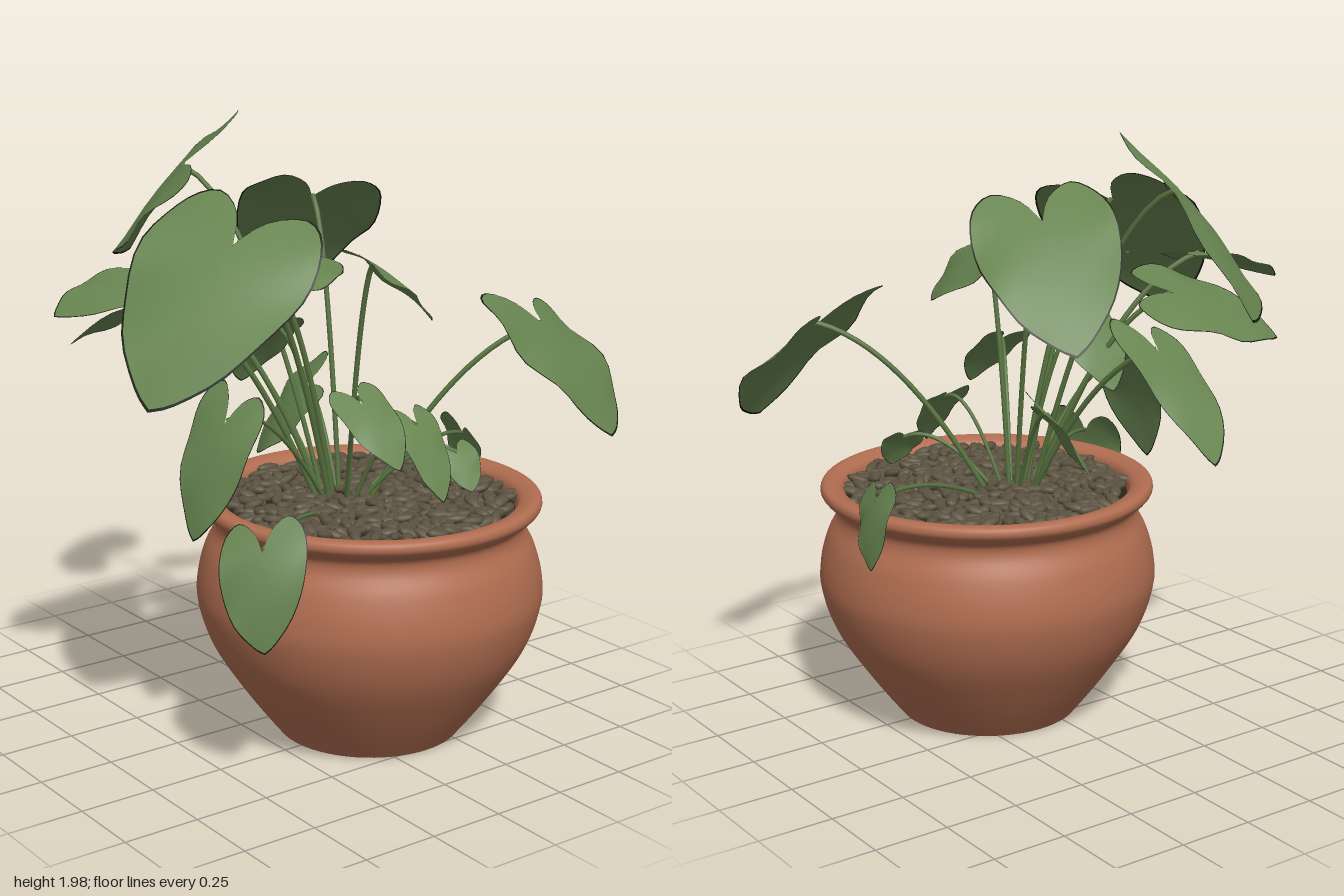
import * as THREE from 'three';
import { mergeGeometries } from 'three/addons/utils/BufferGeometryUtils.js';

const mat = (name, color, side = THREE.FrontSide) => {
  const m = new THREE.MeshStandardMaterial({ color, side });
  m.name = name;
  return m;
};
const clay = mat('terracotta', 0xb06d50);
const soilMat = mat('dark soil', 0x29241b);
const stone = mat('brown pebble', 0x5a513f);
const leafMat = mat('leaf green', 0x678450, THREE.DoubleSide);
const edgeMat = mat('dark leaf edge', 0x161b10, THREE.DoubleSide);
const stemMat = mat('stem green', 0x58733f);

const POT_X = 0.11, POT_Z = 0.22;

function mesh(name, geometry, material) {
  const m = new THREE.Mesh(geometry, material);
  m.name = name;
  return m;
}

function seeded(seed) {
  return () => (seed = (seed * 16807) % 2147483647) / 2147483647;
}

// Each leaf: two widest side points, then the tip
const tallLeaves = [
  [[-0.40, 1.66, -0.33], [-0.04, 1.96, -0.38], [-0.17, 1.47, -0.77]],
  [[-0.55, 1.74, 0.02], [-0.33, 1.61, 0.52], [-0.82, 1.24, 0.38]],
  [[0.34, 1.40, 0.56], [0.83, 1.28, 0.42], [0.68, 1.00, 0.73]],
  [[-0.10, 1.75, -0.18], [0.33, 1.68, -0.02], [0.22, 1.35, -0.43]],
  [[-0.25, 1.38, -0.33], [-0.44, 1.50, -0.02], [-0.66, 1.28, -0.34]],
  [[-0.56, 1.55, -0.18], [-0.58, 1.50, 0.10], [-0.83, 1.43, -0.13]],
  [[-0.20, 1.50, 0.27], [-0.25, 1.58, -0.03], [0.10, 1.52, 0.07]],
  [[-0.04, 1.58, 0.48], [0.13, 1.55, 0.14], [0.20, 1.38, 0.41]],
  [[-0.27, 1.28, -0.38], [-0.02, 1.35, -0.33], [-0.15, 1.00, -0.64]],
];
const lowLeaves = [
  [[-0.61, 0.77, 0.42], [-0.42, 0.83, 0.60], [-0.55, 0.50, 0.57]],
  [[-0.46, 1.14, 0.08], [-0.42, 1.09, 0.34], [-0.57, 0.76, 0.22]],
  [[0.06, 1.05, 0.42], [0.25, 1.05, 0.38], [0.11, 0.85, 0.59]],
  [[-0.24, 1.18, 0.50], [-0.05, 1.20, 0.50], [-0.12, 1.01, 0.66]],
  [[0.64, 0.84, 0.15], [0.66, 0.89, -0.07], [0.72, 0.67, -0.04]],
  [[0.25, 0.93, 0.39], [0.39, 0.94, 0.41], [0.32, 0.82, 0.48]],
  [[0.00, 1.00, -0.02], [0.18, 1.15, -0.21], [0.02, 0.83, -0.29]],
  [[-0.26, 1.34, 0.02], [-0.04, 1.33, 0.04], [-0.15, 1.13, -0.13]],
];

// Heart outline in (across, along), closed loop starting at the notch
const half = new THREE.SplineCurve([
  [0, 0.02], [0.2, -0.18], [0.57, -0.29], [0.88, -0.18], [1, 0.06],
  [0.94, 0.38], [0.66, 0.69], [0.25, 0.92], [0, 1],
].map(p => new THREE.Vector2(...p))).getPoints(24);
const outline = [
  ...half,
  ...half.slice(1, -1).reverse().map(p => new THREE.Vector2(-p.x, p.y)),
];
const rings = [0, 0.2, 0.4, 0.6, 0.8, 0.98, 1];

// Heart-shaped blade: rings of the outline shrinking to a centre, arched along its length
function bladeGeometry(left, right, tip, phase) {
  const base = left.clone().add(right).multiplyScalar(0.5);
  const along = tip.clone().sub(base);
  const across = right.clone().sub(left).multiplyScalar(0.5);
  const normal = along.clone().cross(across).normalize();
  if (normal.y < 0) {
    across.negate();
    normal.negate();
  }
  const length = along.length(), width = across.length();
  const n = outline.length, pos = [], idx = [];
  for (const s of rings) {
    for (const p of outline) {
      const u = p.x * s, v = 0.16 + (p.y - 0.16) * s;
      const lift = length * 0.22 * v * (1 - v) - width * 0.08 * u * u
        + width * 0.06 * s * s * Math.abs(u) * Math.sin(v * 9 + phase + u * 2);
      const q = base.clone().addScaledVector(across, u)
        .addScaledVector(along, v).addScaledVector(normal, lift);
      pos.push(q.x, q.y, q.z);
    }
  }
  for (let r = 0; r < rings.length - 1; r++) {
    for (let i = 0; i < n; i++) {
      const a = r * n + i, b = r * n + (i + 1) % n;
      if (r > 0) idx.push(a, a + n, b);
      idx.push(b, a + n, b + n);
    }
  }
  const g = new THREE.BufferGeometry();
  g.setAttribute('position', new THREE.Float32BufferAttribute(pos, 3));
  g.setIndex(idx);
  g.computeVertexNormals();
  // The outermost ring is the dark margin
  g.addGroup(0, idx.length - n * 6, 0);
  g.addGroup(idx.length - n * 6, n * 6, 1);
  return { geometry: g, base };
}

function makeLeaf(points, i, tall) {
  const [left, right, tip] = points.map(p => new THREE.Vector3(...p));
  const { geometry, base } = bladeGeometry(left, right, tip, i * 1.7);
  const leaf = new THREE.Group();
  leaf.name = tall ? 'tallLeaf' : 'lowLeaf';
  leaf.add(mesh('leafBlade', geometry, [leafMat, edgeMat]));

  // Stalk rising from the crown and bending out to the notch
  const root = new THREE.Vector3(
    0.05 + base.x * 0.12, 0.74, 0.13 + base.z * 0.12);
  const bend = root.clone().lerp(base, tall ? 0.5 : 0.6);
  bend.y = base.y + (tall ? -0.08 : 0.06);
  const path = new THREE.QuadraticBezierCurve3(root, bend, base);
  leaf.add(mesh('leafStalk',
    new THREE.TubeGeometry(path, 18, tall ? 0.009 : 0.007, 6), stemMat));
  return leaf;
}

function makePot() {
  const pot = new THREE.Group();
  pot.name = 'pot';
  // Bulging body, narrow neck and rolled rim
  const profile = new THREE.SplineCurve([
    [0.205, 0.001], [0.29, 0.002], [0.315, 0.02], [0.42, 0.16], [0.515, 0.31],
    [0.558, 0.44], [0.558, 0.53], [0.535, 0.62], [0.503, 0.685],
    [0.503, 0.725], [0.535, 0.752], [0.552, 0.775], [0.545, 0.798],
    [0.515, 0.802], [0.478, 0.785], [0.465, 0.74], [0.462, 0.70],
  ].map(p => new THREE.Vector2(...p))).getPoints(80);
  pot.add(mesh('potBody', new THREE.LatheGeometry(profile, 64), clay));
  const bottom = mesh('potBottom', new THREE.CircleGeometry(0.21, 48), clay);
  bottom.rotation.x = Math.PI / 2;
  bottom.position.y = 0.001;
  pot.add(bottom);

  const soil = mesh('soil', new THREE.CircleGeometry(0.475, 48), soilMat);
  soil.rotation.x = -Math.PI / 2;
  soil.position.y = 0.752;
  pot.add(soil);

  // Elongated pebbles spread in a sunflower pattern
  const rand = seeded(77), count = 430, pebbles = [];
  const dummy = new THREE.Object3D();
  for (let i = 0; i < count; i++) {
    const r = 0.455 * Math.sqrt((i + 0.5) / count), a = i * 2.39996;
    dummy.position.set(r * Math.cos(a), 0.765 + rand() * 0.022, r * Math.sin(a));
    dummy.rotation.set((rand() - 0.5) * 0.6, rand() * 6.283, (rand() - 0.5) * 0.6);
    dummy.scale.set(0.033 + rand() * 0.012, 0.015, 0.017 + rand() * 0.005);
    dummy.updateMatrix();
    pebbles.push(new THREE.SphereGeometry(1, 8, 6).applyMatrix4(dummy.matrix));
  }
  pot.add(mesh('pebbles', mergeGeometries(pebbles), stone));
  pot.position.set(POT_X, 0, POT_Z);
  return pot;
}

export function createModel() {
  const model = new THREE.Group();
  model.name = 'pottedPlant';
  model.add(makePot());
  const foliage = new THREE.Group();
  foliage.name = 'foliage';
  tallLeaves.forEach((p, i) => foliage.add(makeLeaf(p, i, true)));
  lowLeaves.forEach((p, i) => foliage.add(makeLeaf(p, i + 9, false)));
  model.add(foliage);
  return model;
}
